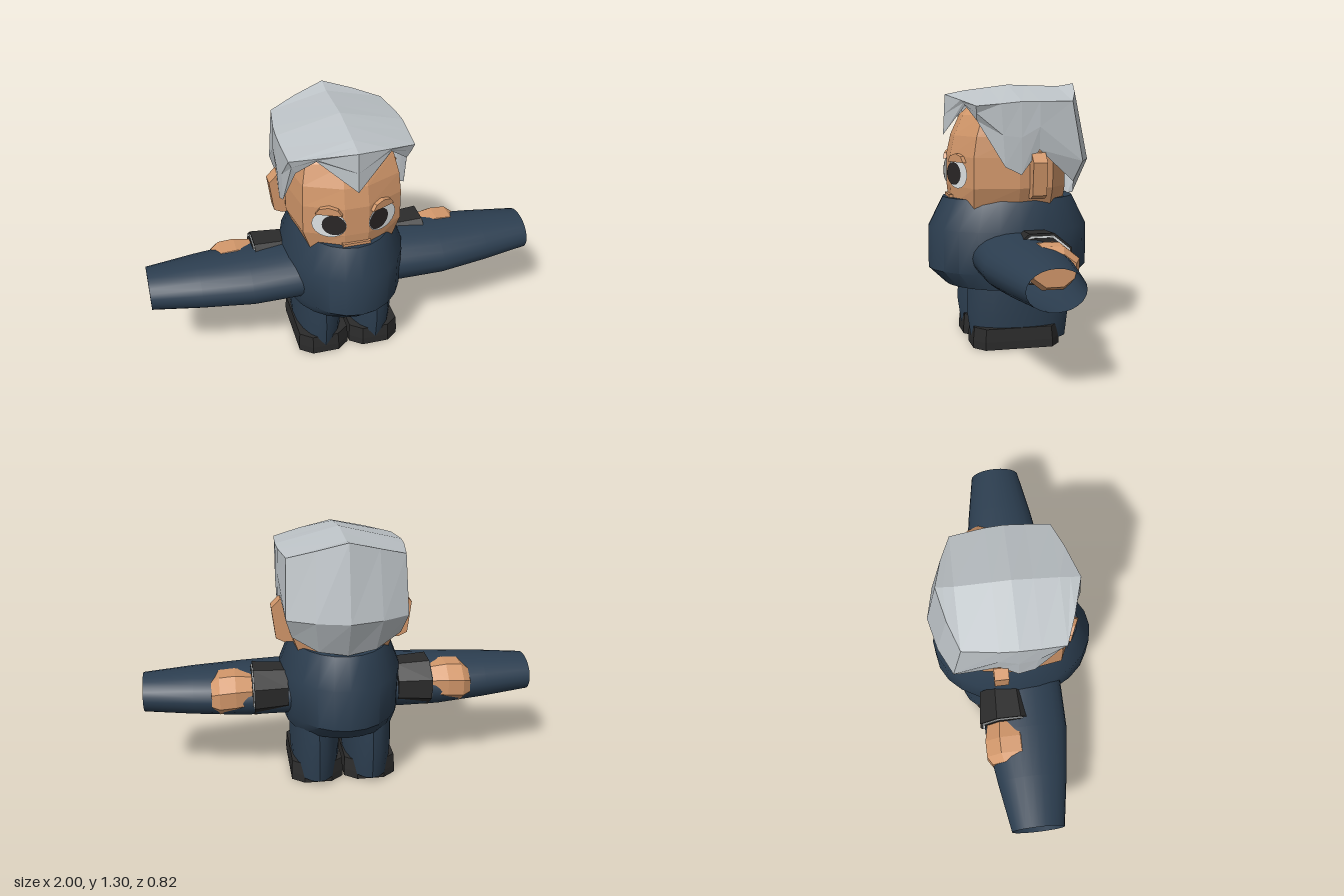
import * as THREE from 'three';
import { toCreasedNormals } from 'three/addons/utils/BufferGeometryUtils.js';

const mat = (name, color) => Object.assign(new THREE.MeshStandardMaterial({ color, side: THREE.DoubleSide }), { name });

// Skin a stack of rings (bottom to top), each ring running from +z towards +x
function loft(rings, crease, capped = true) {
  const n = rings[0].length, pos = rings.flat(2), idx = [];
  for (let i = 0; i < rings.length - 1; i++) {
    for (let j = 0; j < n; j++) {
      const k = (j + 1) % n, a = i * n + j, b = i * n + k;
      idx.push(a, b, b + n, a, b + n, a + n);
    }
  }
  if (capped) {
    const top = (rings.length - 1) * n;
    for (let j = 1; j < n - 1; j++) idx.push(0, j + 1, j, top, top + j, top + j + 1);
  }
  const g = new THREE.BufferGeometry();
  g.setAttribute('position', new THREE.Float32BufferAttribute(pos, 3));
  g.setIndex(idx);
  if (crease) return toCreasedNormals(g, crease);
  const flat = g.toNonIndexed();
  flat.computeVertexNormals();
  return flat;
}

// Elliptical tube from rows of [height, radiusX, radiusZ, centreX, centreZ]
function tube(rows, sides, crease, capped = true) {
  const low = sides <= 8, off = low ? Math.PI / sides : 0, k = low ? 1 / Math.cos(off) : 1;
  return loft(rows.map(([y, rx, rz, cx = 0, cz = 0]) =>
    Array.from({ length: sides }, (_, j) => {
      const a = off + j / sides * Math.PI * 2;
      return [cx + Math.sin(a) * rx * k, y, cz + Math.cos(a) * rz * k];
    })), crease, capped);
}

// Complete a half outline (front centre, +x side, back centre) by mirroring
const mirrorRing = half => [...half, ...half.slice(1, -1).reverse().map(([x, y, z]) => [-x, y, z])];

export function createModel() {
  const model = new THREE.Group();
  const suit = mat('navy suit', 0x2c3e50);
  const black = mat('black leather', 0x2b2b2b);
  const skin = mat('skin', 0xd2976a);
  const grey = mat('grey hair', 0xbdc3c7);
  const white = mat('white', 0xdfe3e4);
  const pupilMat = mat('dark pupil', 0x2a2626);
  const indigo = mat('indigo cloth', 0x2c2c6c);

  const add = (name, geometry, material, parent = model) => {
    const m = new THREE.Mesh(geometry, material);
    m.name = name;
    parent.add(m);
    return m;
  };

  // Torso
  add('torso', tube([[0.3, 0.285, 0.325], [0.38, 0.3, 0.41], [0.59, 0.308, 0.41], [0.74, 0.25, 0.335]], 24, 0.6), suit);
  add('crotch', new THREE.BoxGeometry(0.08, 0.05, 0.4), indigo).position.set(0, 0.3, -0.02);

  // Head: one outline, reshaped per height
  const outline = [[0, 0.305], [0.06, 0.305], [0.245, 0.22], [0.28, 0], [0.255, -0.17], [0.14, -0.265], [0, -0.285]];
  const headRows = [[0.7, 0.86, 0.97], [0.8, 1, 1], [0.95, 1, 1], [1.05, 0.97, 0.93], [1.15, 0.88, 0.78], [1.2, 0.7, 0.6]];
  add('head', loft(headRows.map(([y, sx, sz]) => mirrorRing(outline.map(([x, z]) => [x * sx, y, z * sz])))), skin);
  add('mouth', new THREE.BoxGeometry(0.14, 0.02, 0.04), skin).position.set(0, 0.745, 0.293);

  // Hair columns from front to back: bottom point, mid point, rim point, ridge height
  const columns = [
    [[0, 1.05, 0.33], [0, 1.15, 0.325], [0, 1.25, 0.32], 1.25],
    [[0.18, 1.2, 0.25], [0.175, 1.21, 0.26], [0.17, 1.225, 0.27], 1.26],
    [[0.27, 1.13, 0.21], [0.29, 1.165, 0.215], [0.305, 1.2, 0.22], 1.27],
    [[0.308, 0.91, 0.08], [0.312, 1.06, 0.09], [0.312, 1.21, 0.1], 1.285],
    [[0.31, 0.87, 0], [0.318, 1.05, 0], [0.315, 1.22, 0], 1.298],
    [[0.305, 0.99, -0.09], [0.315, 1.1, -0.09], [0.31, 1.22, -0.09], 1.295],
    [[0.265, 0.83, -0.27], [0.295, 0.93, -0.31], [0.285, 1.22, -0.26], 1.29],
    [[0.14, 0.76, -0.305], [0.16, 0.93, -0.375], [0.15, 1.262, -0.31], 1.298],
    [[0, 0.74, -0.32], [0, 0.93, -0.412], [0, 1.305, -0.345], 1.305],
  ];
  const hairRings = [0, 1, 2].map(r => mirrorRing(columns.map(c => c[r])));
  hairRings.push(mirrorRing(columns.map(c => [0, c[3], c[2][2]])));
  add('hair', loft(hairRings, 0, false), grey);

  for (const s of [1, -1]) {
    const side = s > 0 ? 'left' : 'right';

    // Ear, drawn from the front and extruded
    const earPts = [[0.24, 0.75], [0.29, 0.75], [0.33, 0.77], [0.35, 0.93], [0.305, 0.975], [0.24, 0.975]];
    const earShape = new THREE.Shape(earPts.map(([x, y]) => new THREE.Vector2(x * s, y)));
    const ear = add(side + 'Ear', new THREE.ExtrudeGeometry(earShape, { depth: 0.07, bevelEnabled: false }), skin);
    ear.position.z = -0.12;

    // Eye: thin plates lying on the slanted cheek
    const eye = new THREE.Group();
    eye.name = side + 'Eye';
    eye.position.set(s * 0.13, 0.865, 0.279);
    eye.rotation.y = s * 0.43;
    model.add(eye);
    const plate = (name, rx, ry, x, z, m) => {
      const g = new THREE.CircleGeometry(1, 20).scale(rx, ry, 1);
      add(name, g, m, eye).position.set(s * x, 0, z);
    };
    plate('eyeWhite', 0.085, 0.072, 0, 0.004, white);
    plate('pupil', 0.059, 0.056, -0.024, 0.008, pupilMat);
    const lidShape = new THREE.Shape([[-0.065, 0], [0.065, 0], [0.045, 0.03], [0, 0.042], [-0.045, 0.03]]
      .map(p => new THREE.Vector2(...p)));
    add('eyelid', new THREE.ExtrudeGeometry(lidShape, { depth: 0.03, bevelEnabled: false }), skin, eye)
      .position.set(0, 0.058, -0.015);

    // Arm parts are built upright, then laid along the x axis
    const armTube = (name, rows, sides, crease, m, capped) => {
      const g = tube(rows.map(([x, ry, rz, y, z]) => [x, ry, rz, -s * y, z]), sides, crease, capped);
      add(side + name, g.rotateZ(-s * Math.PI / 2), m);
    };
    armTube('Sleeve', [[0.24, 0.132, 0.21, 0.46, 0.02], [0.5, 0.125, 0.21, 0.456, 0.02],
      [0.75, 0.113, 0.175, 0.459, 0.02], [1, 0.093, 0.132, 0.462, 0.02]], 24, 0.6, suit, false);
    armTube('Cuff', [[0.28, 0.112, 0.13, 0.485, -0.065], [0.45, 0.122, 0.147, 0.485, -0.065]], 8, 0, black);
    armTube('ShirtCuff', [[0.44, 0.11, 0.135, 0.485, -0.065], [0.455, 0.11, 0.135, 0.485, -0.065]], 8, 0, white);
    armTube('CuffLining', [[0.45, 0.102, 0.125, 0.485, -0.065], [0.458, 0.102, 0.125, 0.485, -0.065]], 8, 0, black);
    armTube('Hand', [[0.44, 0.085, 0.105, 0.48, -0.07], [0.54, 0.1, 0.125, 0.48, -0.07],
      [0.62, 0.1, 0.125, 0.475, -0.07], [0.66, 0.075, 0.1, 0.47, -0.07]], 8, 0, skin);

    // Leg and shoe
    const x = s * 0.137;
    add(side + 'Leg', tube([[0.03, 0.118, 0.245, x, -0.027], [0.18, 0.128, 0.265, x, -0.025],
      [0.34, 0.126, 0.258, x, -0.025]], 20, 0.6), suit);
    const sole = [[0, 0.22], [0.07, 0.22], [0.133, 0.17], [0.133, -0.17], [0.07, -0.22], [0, -0.22]];
    add(side + 'Shoe', loft([[0, 1], [0.04, 1], [0.105, 0.97]].map(([y, k]) =>
      mirrorRing(sole.map(([px, pz]) => [px * k, y, pz * k])))), black).position.x = x;
  }
  return model;
}
